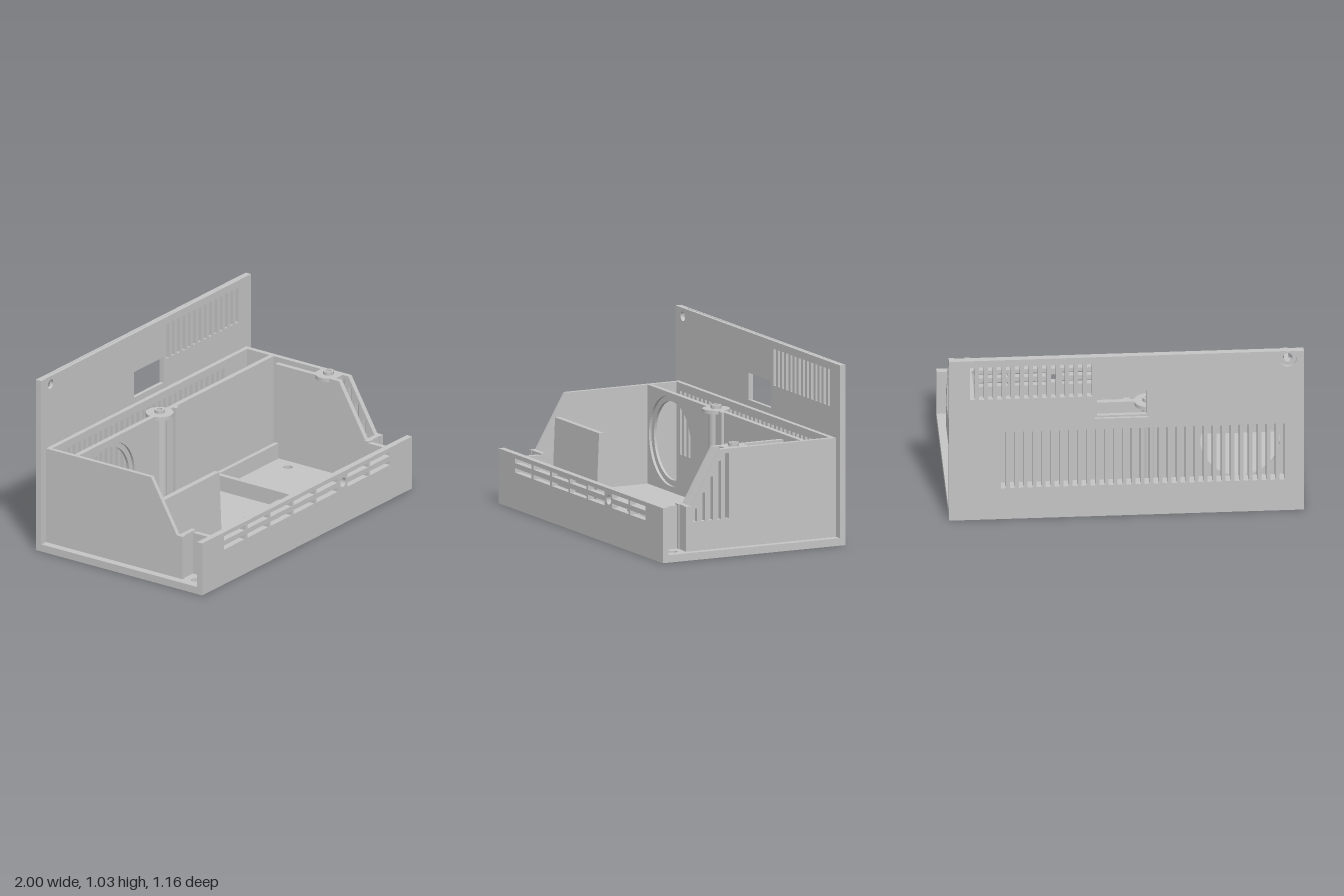
import * as THREE from 'three';

const grey = new THREE.MeshStandardMaterial({ color: 0xc4c4c4 });
grey.name = 'light grey plastic';

// closed outline helpers
function poly(points, Type = THREE.Path) {
  const p = new Type();
  points.forEach(([x, y], i) => (i ? p.lineTo(x, y) : p.moveTo(x, y)));
  p.closePath();
  return p;
}
const rect = (x0, x1, y0, y1, Type) => poly([[x0, y0], [x1, y0], [x1, y1], [x0, y1]], Type);
function disc(x, y, r, Type = THREE.Path, from = 0, to = Math.PI * 2) {
  const p = new Type();
  p.absarc(x, y, r, from, to);
  return p;
}

export function createModel() {
  const model = new THREE.Group();
  model.name = 'enclosure';

  function add(name, geometry) {
    const mesh = new THREE.Mesh(geometry, grey);
    mesh.name = name;
    model.add(mesh);
  }
  function slab(shape, holes, depth) {
    shape.holes = holes;
    return new THREE.ExtrudeGeometry(shape, { depth, bevelEnabled: false, curveSegments: 40 });
  }
  // plates lying in the xy, xz and zy planes
  const upright = (name, shape, holes, z0, z1) =>
    add(name, slab(shape, holes, z1 - z0).translate(0, 0, z0));
  const flat = (name, shape, holes, y0, y1) =>
    add(name, slab(shape, holes, y1 - y0).rotateX(Math.PI / 2).translate(0, y1, 0));
  const side = (name, shape, holes, x0, x1) =>
    add(name, slab(shape, holes, x1 - x0).rotateY(-Math.PI / 2).translate(x1, 0, 0));
  const box = (name, x0, x1, y0, y1, z0, z1) =>
    add(name, new THREE.BoxGeometry(x1 - x0, y1 - y0, z1 - z0)
      .translate((x0 + x1) / 2, (y0 + y1) / 2, (z0 + z1) / 2));
  const post = (name, x, z, r, y0, y1) =>
    add(name, new THREE.CylinderGeometry(r, r, y1 - y0, 32).translate(x, (y0 + y1) / 2, z));
  const collar = (name, x, z, r, y0, y1) =>
    flat(name, disc(x, z, r, THREE.Shape), [disc(x, z, 0.016)], y0, y1);

  // base with counterbored screw holes
  const screws = [[-0.92, 0.475], [0.92, 0.475], [0.76, -0.11], [0.335, 0.315]];
  [[0, 0.016, 0.05], [0.016, 0.043, 0.027]].forEach(([y0, y1, r]) =>
    flat('base', rect(-1, 1, -0.58, 0.58, THREE.Shape),
      screws.map(([x, z]) => disc(x, z, r)), y0, y1));

  // front panel with two rows of vents and a light hole
  const frontHoles = [disc(0.342, 0.25, 0.027)];
  [[-0.795, -0.595], [-0.57, -0.37], [-0.35, -0.15], [-0.13, 0.07],
    [0.09, 0.29], [0.385, 0.58], [0.6, 0.79]].forEach(([a, b]) => {
    frontHoles.push(rect(a, b, 0.21, 0.236), rect(a, b, 0.265, 0.291));
  });
  upright('frontPanel', rect(-1, 1, 0.04, 0.315, THREE.Shape), frontHoles, 0.543, 0.58);

  // rear panel: stepped window and hole, upper vents, long lower vents
  const vents = (count, start, y0, y1) => Array.from({ length: count }, (_, i) => {
    const x = start + i * 0.0507;
    return rect(x, x + 0.027, y0, y1);
  });
  const lowerVents = () => vents(32, -0.89, 0.2, 0.565);
  [[-0.58, -0.565, 0.05, 0.012], [-0.565, -0.543, 0.027, 0]].forEach(([z0, z1, r, step]) =>
    upright('rearPanel', rect(-1, 1, 0.04, 1.033, THREE.Shape),
      [...lowerVents(), ...vents(14, 0.195, 0.78, 0.99), disc(-0.91, 0.985, r),
        rect(-0.113 - step, 0.165 + step, 0.645 - step, 0.8 + step)], z0, z1));
  upright('rearInnerWall', rect(-0.93, 0.925, 0.04, 0.61, THREE.Shape), lowerVents(), -0.543, -0.515);

  // partition with a stepped round opening
  [[-0.36, -0.345, 0.225], [-0.345, -0.33, 0.257]].forEach(([z0, z1, r]) =>
    upright('partition', rect(-0.93, 0.925, 0.04, 0.61, THREE.Shape), [disc(-0.655, 0.333, r)], z0, z1));

  // sloped side walls; the left one is vented and doubled by an inner wall
  const profile = (back) => poly([[back, 0.04], [0.41, 0.04], [0.41, 0.3], [0.37, 0.3],
    [0.19, 0.61], [back, 0.61]], THREE.Shape);
  const sideVents = [0.585, 0.545, 0.46, 0.372, 0.286].map((top, i) =>
    rect(0.136 + i * 0.0505, 0.163 + i * 0.0505, 0.21, top));
  side('rightWall', profile(-0.545), [], -0.955, -0.93);
  side('leftWall', profile(-0.545), sideVents, 0.925, 0.955);
  side('leftInnerWall', profile(-0.255), [], 0.835, 0.865);

  // screw corner brackets
  for (const s of [-1, 1]) {
    const span = (a, b) => (s > 0 ? [a, b] : [-b, -a]);
    box('cornerCrossWall', ...span(0.82, 0.94), 0.04, 0.3, 0.375, 0.405);
    box('cornerSideWall', ...span(0.82, 0.85), 0.04, 0.29, 0.38, 0.545);
  }

  // leaning divider plate
  side('divider', poly([[0.225, 0.04], [0.275, 0.04], [0.257, 0.475], [0.225, 0.475]], THREE.Shape),
    [], -0.93, -0.395);

  // board tray with locating pegs
  box('trayLeftWall', 0.245, 0.275, 0.04, 0.135, -0.255, 0.415);
  box('trayRearWall', 0.275, 0.84, 0.04, 0.135, -0.255, -0.23);
  box('trayFrontRidge', 0.245, 0.82, 0.04, 0.1, 0.52, 0.545);
  box('trayCorner', 0.245, 0.275, 0.04, 0.1, 0.505, 0.52);
  box('trayRightRidge', 0.8, 0.825, 0.04, 0.1, 0.36, 0.52);
  post('trayPeg', 0.335, -0.11, 0.028, 0.04, 0.085);
  post('trayPeg', 0.76, 0.315, 0.028, 0.04, 0.085);
  box('floorRib', -0.095, 0.245, 0.04, 0.09, 0.205, 0.235);

  // centre screw post with wide collar, and its side arm
  post('centrePost', -0.135, -0.345, 0.037, 0.04, 0.6);
  collar('centreCollar', -0.135, -0.35, 0.078, 0.588, 0.61);
  collar('centrePin', -0.135, -0.35, 0.03, 0.6, 0.63);
  box('armUpright', -0.035, 0, 0.04, 0.61, -0.345, -0.313);
  flat('armFoot', poly([[-0.14, -0.25], [-0.11, -0.25], [0, -0.315], [-0.035, -0.333]], THREE.Shape),
    [], 0.04, 0.06);

  // left screw post bridging the two left walls
  box('leftPostBlock', 0.865, 0.925, 0.04, 0.59, 0, 0.134);
  box('leftPostBridge', 0.865, 0.925, 0.588, 0.61, 0, 0.15);
  flat('leftCollar', disc(0.893, 0.075, 0.075, THREE.Shape, Math.PI / 3, Math.PI * 5 / 3),
    [], 0.588, 0.61);
  collar('leftPin', 0.893, 0.075, 0.03, 0.6, 0.63);

  return model;
}
